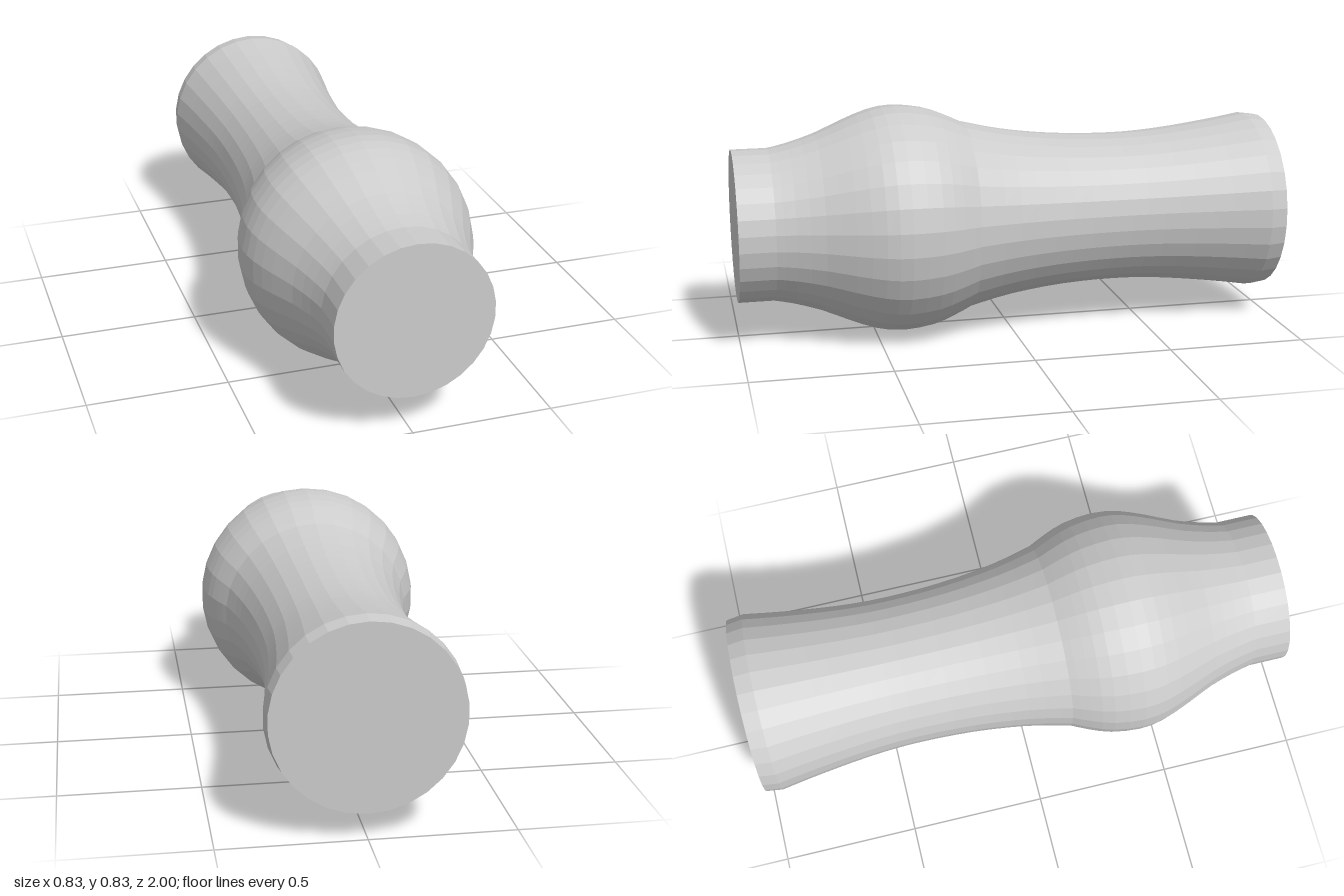
import * as THREE from 'three';

const SIDES = 30;
const AXIS_HEIGHT = 0.417;

// Samples a smooth curve through [z, radius] pairs as lathe points (radius, z).
function smoothProfile(pairs, steps) {
  const curve = new THREE.SplineCurve(pairs.map(([z, r]) => new THREE.Vector2(r, z)));
  return curve.getPoints(steps);
}

export function createModel() {
  const model = new THREE.Group();
  const material = new THREE.MeshStandardMaterial({ color: 0xcccccc, flatShading: true });

  // Flared waist, from the rear rim to the crease before the bulb
  const waist = smoothProfile([
    [-0.94, 0.333], [-0.8, 0.311], [-0.6, 0.287], [-0.42, 0.278],
    [-0.2, 0.286], [0, 0.311], [0.155, 0.346],
  ], 18);

  // Round bulb easing into the front neck
  const bulb = smoothProfile([
    [0.155, 0.346], [0.22, 0.376], [0.3, 0.404], [0.41, 0.417], [0.5, 0.404],
    [0.6, 0.367], [0.7, 0.324], [0.8, 0.293], [0.87, 0.278],
  ], 16);

  // Closed profile: rear cap, chamfered rim, waist, bulb, front neck and cap
  const profile = [
    new THREE.Vector2(0, -1),
    new THREE.Vector2(0.325, -1),
    ...waist,
    ...bulb.slice(1),
    new THREE.Vector2(0.278, 1),
    new THREE.Vector2(0, 1),
  ];

  const geometry = new THREE.LatheGeometry(profile, SIDES);
  geometry.rotateX(Math.PI / 2); // lay the lathe axis along z
  const body = new THREE.Mesh(geometry, material);
  body.name = 'turnedHandle';
  body.position.y = AXIS_HEIGHT;
  model.add(body);

  return model;
}
